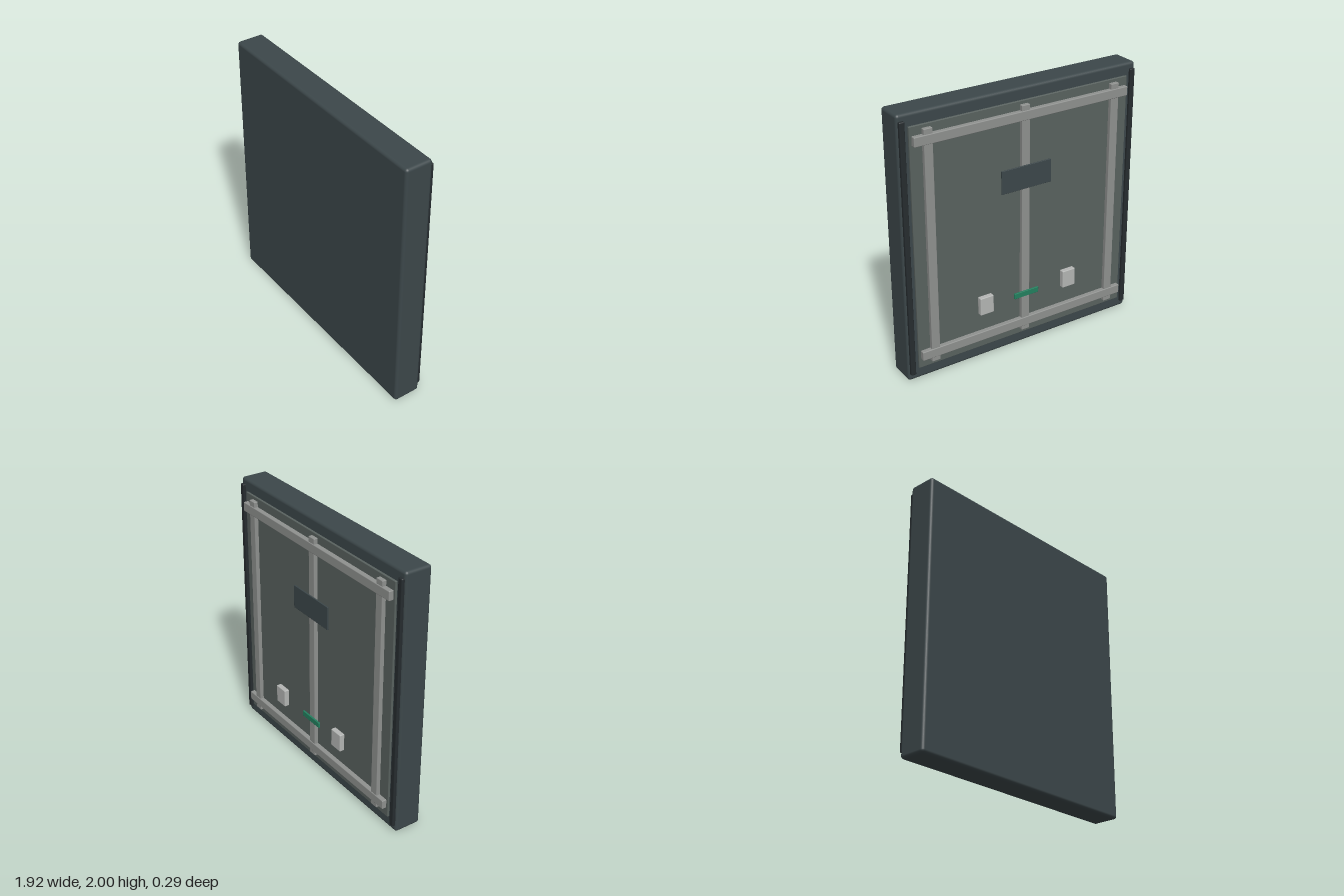
import * as THREE from 'three';
import { RoundedBoxGeometry } from 'three/addons/geometries/RoundedBoxGeometry.js';

const material = (color) => new THREE.MeshStandardMaterial({ color });
const dark = material(0x3c474a);
const rubber = material(0x262c2f);
const panelGrey = material(0x59625f);
const steel = material(0x8f918f);
const pale = material(0xb4b6b4);
const green = material(0x23805f);

export function createModel() {
  const model = new THREE.Group();

  // Softened block given by its extents on each axis
  function block(name, mat, [x0, x1], [y0, y1], [z0, z1], radius) {
    const geometry = new RoundedBoxGeometry(x1 - x0, y1 - y0, z1 - z0, 3, radius);
    const mesh = new THREE.Mesh(geometry, mat);
    mesh.name = name;
    mesh.position.set((x0 + x1) / 2, (y0 + y1) / 2, (z0 + z1) / 2);
    model.add(mesh);
  }

  // Thick door slab and the raised panel on its back
  block('doorSlab', dark, [-0.96, 0.96], [0, 2], [-0.06, 0.147], 0.022);
  block('backPanel', panelGrey, [-0.88, 0.88], [0.09, 1.91], [-0.075, -0.05], 0.004);

  // Seal strips along both sides
  for (const [side, x] of [['left', 0.927], ['right', -0.927]]) {
    block(side + 'Seal', rubber, [x - 0.02, x + 0.02], [0.05, 1.955], [-0.08, -0.045], 0.008);
  }

  // Three upright ribs
  for (const [place, x] of [['left', 0.755], ['middle', 0], ['right', -0.755]]) {
    block(place + 'Rib', steel, [x - 0.033, x + 0.033], [0.125, 1.885], [-0.104, -0.07], 0.005);
  }

  // Cross rails over the ribs
  for (const [place, y] of [['upper', 1.81], ['lower', 0.195]]) {
    block(place + 'Rail', steel, [-0.863, 0.863], [y - 0.035, y + 0.035], [-0.109, -0.07], 0.006);
  }

  // Plate and status light on the middle rib
  block('plate', dark, [-0.205, 0.205], [1.273, 1.448], [-0.114, -0.103], 0.003);
  block('statusLight', green, [-0.103, 0.103], [0.415, 0.457], [-0.117, -0.103], 0.003);

  // Pair of latch blocks
  for (const [side, x] of [['left', 0.355], ['right', -0.355]]) {
    block(side + 'Latch', pale, [x - 0.055, x + 0.055], [0.395, 0.532], [-0.147, -0.107], 0.006);
  }

  return model;
}
